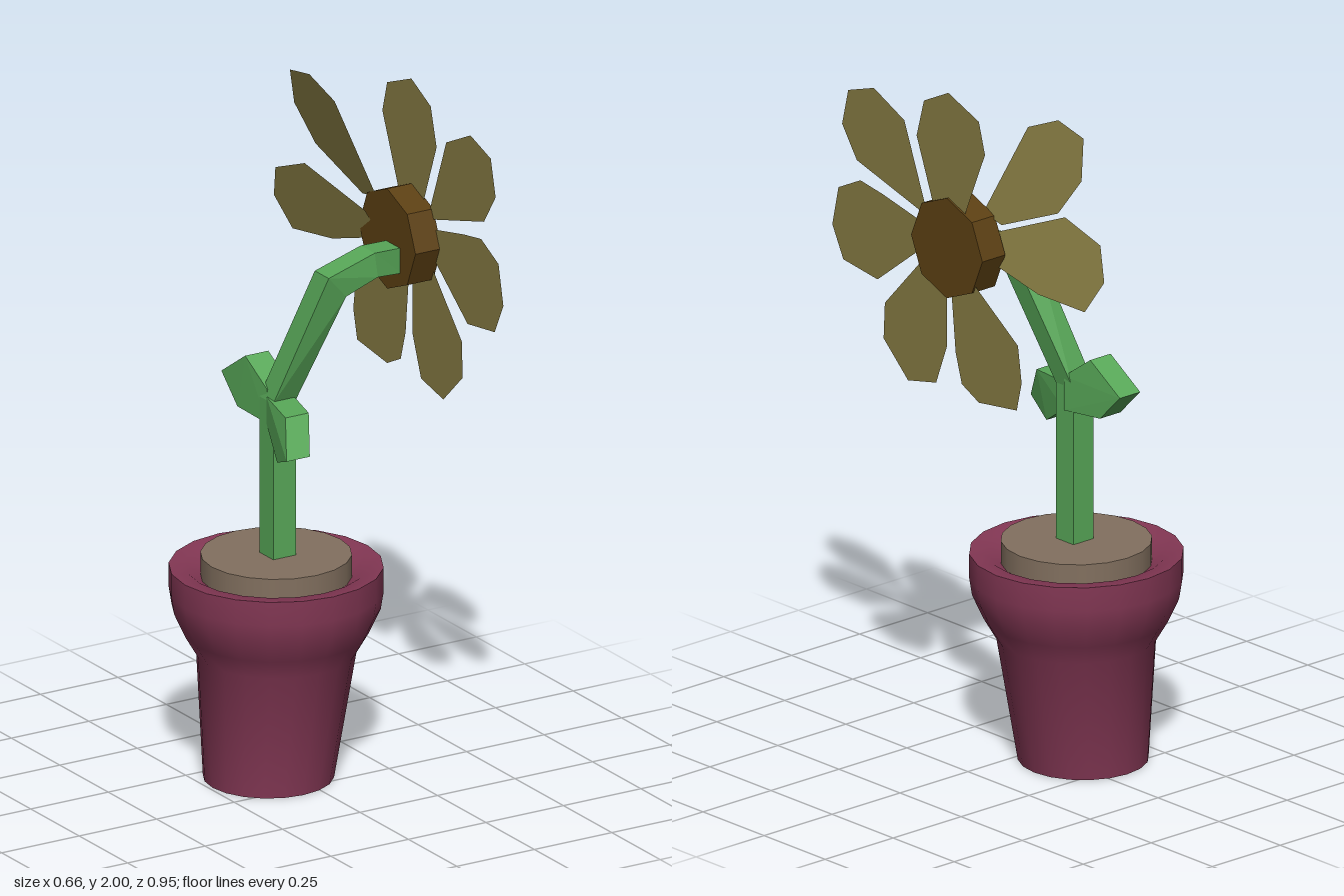
import * as THREE from 'three';
import { toCreasedNormals } from 'three/addons/utils/BufferGeometryUtils.js';
import { ConvexGeometry } from 'three/addons/geometries/ConvexGeometry.js';

const material = (color, options = {}) => new THREE.MeshStandardMaterial({ color, ...options });
const potMat = material(0x833754, { side: THREE.DoubleSide });
const soilMat = material(0x82705f);
const greenMat = material(0x58a858, { flatShading: true });
const petalMat = material(0x857a42, { side: THREE.DoubleSide, flatShading: true });
const discMat = material(0x5c4013, { flatShading: true });

function part(name, geometry, mat) {
  const mesh = new THREE.Mesh(geometry, mat);
  mesh.name = name;
  return mesh;
}

// Open-bottomed pot with a thick rim, its foot slightly off centre
function potGeometry() {
  const profile = [
    [0.18, 0], [0.22, 0.36], [0.255, 0.42], [0.287, 0.49], [0.295, 0.54],
    [0.295, 0.61], [0.246, 0.605], [0.2, 0.575],
  ].map(([r, y]) => new THREE.Vector2(r, y));
  const geo = new THREE.LatheGeometry(profile, 20);
  const pos = geo.attributes.position;
  for (let i = 0; i < pos.count; i++) {
    const lean = Math.max(0, 1 - pos.getY(i) / 0.36) * -0.025;
    pos.setX(i, pos.getX(i) + lean);
  }
  return toCreasedNormals(geo, 0.8);
}

// Four-sided tube through sections [centre, half-width in x, half-width in y]
function stemGeometry(sections, halfDepth) {
  const rings = sections.map(([c, ux, uy]) =>
    [[1, 1], [1, -1], [-1, -1], [-1, 1]].map(([s, t]) =>
      [c[0] + s * ux, c[1] + s * uy, c[2] + t * halfDepth]));
  const verts = [];
  for (let k = 0; k + 1 < rings.length; k++) {
    for (let i = 0; i < 4; i++) {
      const j = (i + 1) % 4;
      const [a, b, c, d] = [rings[k][i], rings[k][j], rings[k + 1][j], rings[k + 1][i]];
      verts.push(...a, ...b, ...c, ...a, ...c, ...d);
    }
  }
  const geo = new THREE.BufferGeometry();
  geo.setAttribute('position', new THREE.Float32BufferAttribute(verts, 3));
  geo.computeVertexNormals();
  return geo;
}

// Thick leaf: a side profile of [x, y, z] edges, each as wide as the stem
function leafGeometry(profile) {
  return new ConvexGeometry(profile.flatMap(([x, y, z]) =>
    [new THREE.Vector3(x, y, z), new THREE.Vector3(x + 0.075, y, z)]));
}

// Flat petal outlined in [z, y], lying in the plane x = a + b*y + c*z
function petalGeometry(outline, [a, b, c]) {
  const shape = new THREE.Shape(outline.map(([z, y]) => new THREE.Vector2(z, y)));
  const geo = new THREE.ShapeGeometry(shape);
  const pos = geo.attributes.position;
  for (let i = 0; i < pos.count; i++) {
    const z = pos.getX(i), y = pos.getY(i);
    pos.setXYZ(i, a + b * y + c * z, y, z);
  }
  geo.computeVertexNormals();
  return geo;
}

export function createModel() {
  const model = new THREE.Group();
  model.name = 'pottedFlower';

  // Pot and soil
  const pot = part('pot', potGeometry(), potMat);
  pot.position.set(-0.035, 0, -0.127);
  const soil = part('soil', new THREE.CylinderGeometry(0.208, 0.208, 0.08, 20), soilMat);
  soil.position.set(-0.035, 0.605, -0.127);
  model.add(pot, soil);

  // Stem, bending forward and over to the flower head
  model.add(part('stem', stemGeometry([
    [[-0.033, 0.6, -0.122], 0.037, 0],
    [[-0.033, 1.1, -0.122], 0.037, 0],
    [[0.047, 1.462, 0.022], 0.028, -0.032],
    [[0.155, 1.515, 0.05], 0.005, -0.036],
    [[0.25, 1.503, 0.028], 0, -0.037],
  ], 0.036), greenMat));

  // Leaves
  model.add(part('frontLeaf', leafGeometry([
    [-0.07, 1.11, -0.12], [-0.1, 1.1, 0.025], [-0.137, 1.0, 0.09],
    [-0.105, 0.96, -0.01], [-0.07, 1.03, -0.12],
  ]), greenMat));
  model.add(part('backLeaf', leafGeometry([
    [-0.066, 1.13, -0.125], [-0.077, 1.2, -0.22], [-0.08, 1.12, -0.338],
    [-0.077, 1.04, -0.26], [-0.066, 1.03, -0.125],
  ]), greenMat));

  // Flower head, facing sideways
  const flower = new THREE.Group();
  flower.name = 'flowerHead';
  const disc = part('flowerCentre', new THREE.CylinderGeometry(0.146, 0.146, 0.084, 8), discMat);
  disc.rotation.z = -Math.PI / 2;
  disc.position.set(0.286, 1.548, 0);
  flower.add(disc);

  // Petals: five upright behind the front face, two folded backwards
  const upright = [0.322, 0, 0];
  const petals = [
    [[[0.05, 1.62], [-0.05, 1.62], [-0.075, 1.68], [-0.15, 1.86], [-0.125, 1.95],
      [0, 2], [0.1, 1.95], [0.13, 1.84], [0.07, 1.68]], upright],
    [[[0.07, 1.6], [0.1, 1.66], [0.18, 1.87], [0.305, 1.93], [0.41, 1.895],
      [0.435, 1.79], [0.375, 1.7], [0.1, 1.62]], upright],
    [[[0.09, 1.59], [0.27, 1.63], [0.36, 1.645], [0.45, 1.6], [0.475, 1.485],
      [0.43, 1.395], [0.29, 1.375], [0.09, 1.53]], upright],
    [[[0.09, 1.5], [0.26, 1.315], [0.265, 1.21], [0.165, 1.115], [0.05, 1.14],
      [0.005, 1.26], [0.005, 1.45]], upright],
    [[[-0.01, 1.45], [-0.03, 1.25], [-0.055, 1.165], [-0.125, 1.13], [-0.28, 1.15],
      [-0.3, 1.235], [-0.285, 1.34], [-0.09, 1.48]], upright],
    [[[-0.06, 1.53], [-0.27, 1.465], [-0.43, 1.45], [-0.475, 1.54], [-0.44, 1.635],
      [-0.31, 1.685], [-0.1, 1.6]], [0.663, -0.255, 0.2]],
    [[[-0.06, 1.65], [-0.14, 1.635], [-0.345, 1.72], [-0.41, 1.825], [-0.385, 1.935],
      [-0.275, 1.957], [-0.165, 1.91]], [0.693, -0.27, 0]],
  ];
  petals.forEach(([outline, plane], i) =>
    flower.add(part(`petal${i + 1}`, petalGeometry(outline, plane), petalMat)));
  model.add(flower);

  return model;
}
